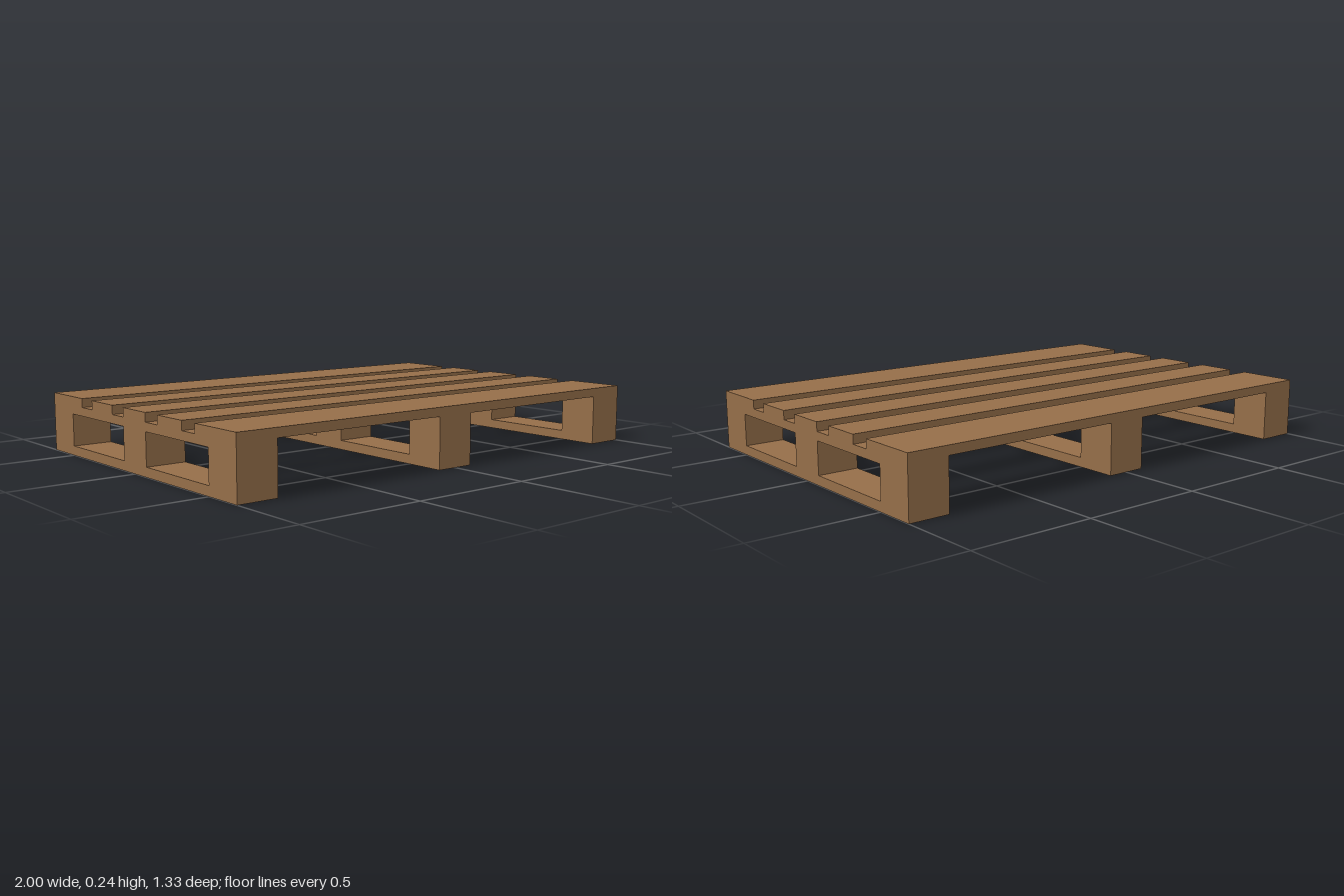
import * as THREE from 'three';

const HALF_DEPTH = 0.667;
const RAIL_TOP = 0.204;
const DECK_TOP = 0.24;
const RAIL_WIDTH = 0.165;

function rect(path, z0, y0, z1, y1) {
  path.moveTo(z0, y0);
  path.lineTo(z1, y0);
  path.lineTo(z1, y1);
  path.lineTo(z0, y1);
  path.closePath();
  return path;
}

export function createModel() {
  const group = new THREE.Group();
  group.name = 'pallet';
  const wood = new THREE.MeshStandardMaterial({ color: 0x956e49, flatShading: true });

  // Runners: side profile with two fork openings, extruded across x
  const profile = rect(new THREE.Shape(), -HALF_DEPTH, 0, HALF_DEPTH, RAIL_TOP);
  profile.holes.push(rect(new THREE.Path(), -0.5, 0.038, -0.083, 0.169));
  profile.holes.push(rect(new THREE.Path(), 0.083, 0.038, 0.5, 0.169));
  const runnerGeo = new THREE.ExtrudeGeometry(profile, { depth: RAIL_WIDTH, bevelEnabled: false });
  runnerGeo.translate(0, 0, -RAIL_WIDTH / 2);
  runnerGeo.rotateY(-Math.PI / 2);

  const runnerX = 1 - RAIL_WIDTH / 2;
  [['right', -runnerX], ['middle', 0], ['left', runnerX]].forEach(([side, x]) => {
    const runner = new THREE.Mesh(runnerGeo, wood);
    runner.name = `${side}Runner`;
    runner.position.x = x;
    group.add(runner);
  });

  // Deck boards: wide outer pair, narrower inner three
  const thickness = DECK_TOP - RAIL_TOP;
  const boards = [[-0.542, 0.25], [-0.25, 0.166], [0, 0.166], [0.25, 0.166], [0.542, 0.25]];
  boards.forEach(([z, width], i) => {
    const board = new THREE.Mesh(new THREE.BoxGeometry(2, thickness, width), wood);
    board.name = `deckBoard${i + 1}`;
    board.position.set(0, RAIL_TOP + thickness / 2, z);
    group.add(board);
  });

  return group;
}
